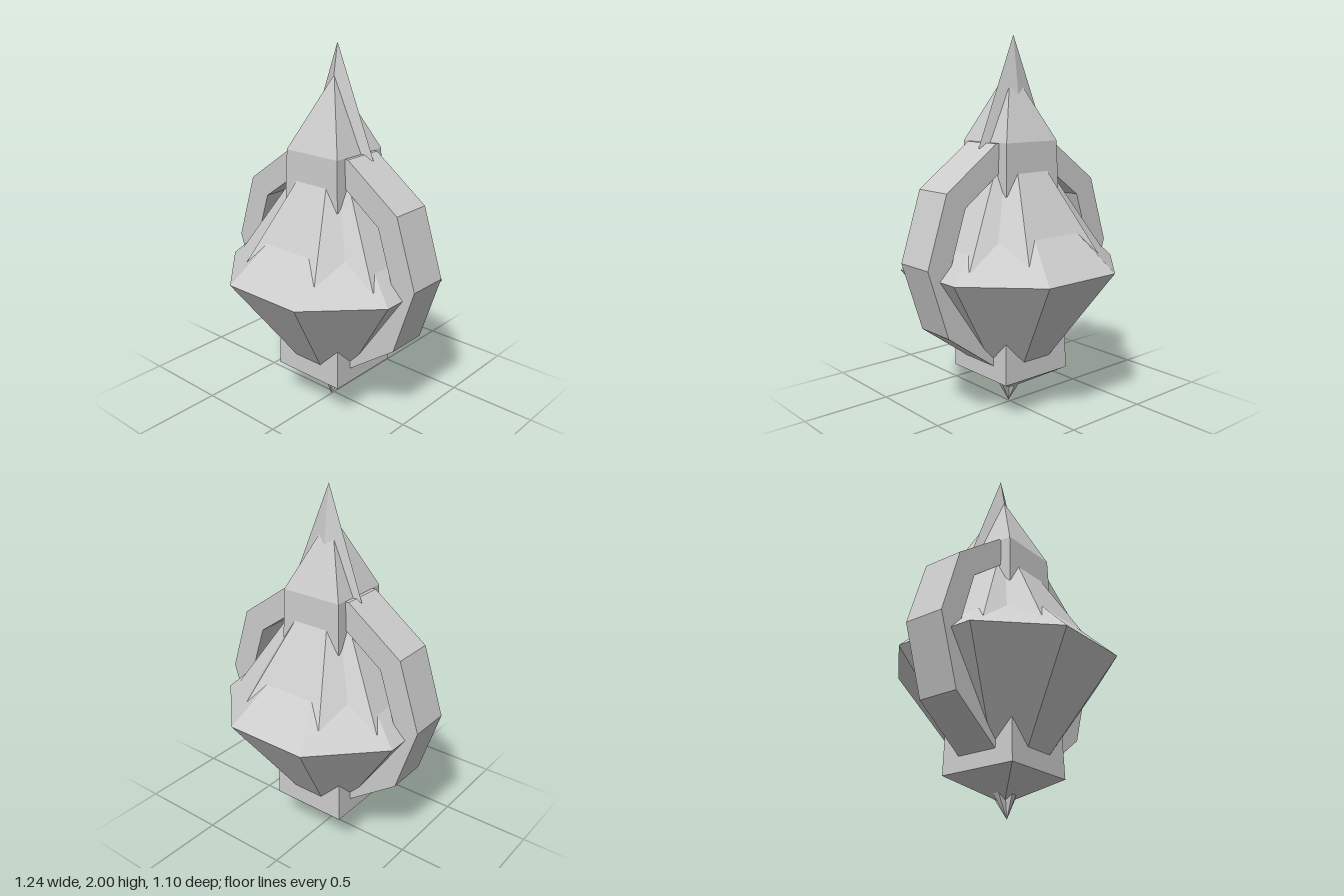
import * as THREE from 'three';

const stone = new THREE.MeshStandardMaterial({ color: 0xcccccc });
stone.name = 'pale grey';

// Faceted solid through cross-sections { y, pts: [[x, z], ...] }, listed bottom to top
function loft(sections) {
  const pos = [];
  const rings = sections.map(s => s.pts.map(([x, z]) => [x, s.y, z]));
  const n = rings[0].length;
  const tri = (a, b, c) => pos.push(...a, ...b, ...c);
  for (let r = 0; r < rings.length - 1; r++) {
    const lo = rings[r], hi = rings[r + 1];
    for (let i = 0; i < n; i++) {
      const j = (i + 1) % n;
      tri(lo[i], lo[j], hi[j]);
      tri(lo[i], hi[j], hi[i]);
    }
  }
  const cap = (ring, up) => {
    const c = [0, 1, 2].map(k => ring.reduce((s, p) => s + p[k], 0) / n);
    for (let i = 0; i < n; i++) {
      const j = (i + 1) % n;
      up ? tri(c, ring[i], ring[j]) : tri(c, ring[j], ring[i]);
    }
  };
  cap(rings[0], false);
  cap(rings[rings.length - 1], true);
  const geo = new THREE.BufferGeometry();
  geo.setAttribute('position', new THREE.Float32BufferAttribute(pos, 3));
  geo.computeVertexNormals();
  return geo;
}

// Mirror one quadrant (front to side) into a closed outline
function mirror4(q) {
  const r = [...q].reverse();
  return [
    ...q,
    ...r.map(([x, z]) => [x, -z]),
    ...q.map(([x, z]) => [-x, -z]),
    ...r.map(([x, z]) => [-x, z]),
  ];
}
const octagon = a => mirror4([[a * 0.416, a], [a, a * 0.416]]);
const square = a => [[-a, a], [a, a], [a, -a], [-a, -a]];
const star = s => mirror4([[0.21, 0.365], [0.285, 0.24], [0.39, 0.2]].map(p => p.map(v => v * s)));
const point = (n, x, z) => Array.from({ length: n }, () => [x, z]);

export function createModel() {
  const model = new THREE.Group();
  const add = (name, geo) => {
    const mesh = new THREE.Mesh(geo, stone);
    mesh.name = name;
    model.add(mesh);
  };

  // Octagonal bowl with its sloping shoulder
  add('bowl', loft([
    { y: 0.3, pts: octagon(0.21) },
    { y: 0.8, pts: octagon(0.552) },
    { y: 1.05, pts: octagon(0.3) },
  ]));

  // Ridged roof, tapering into the collar
  add('ridgedRoof', loft([
    { y: 0.86, pts: star(1.19) },
    { y: 1.44, pts: star(0.27) },
  ]));

  // Square collar and its pyramid
  add('collar', loft([
    { y: 1.19, pts: square(0.181) },
    { y: 1.46, pts: square(0.173) },
  ]));
  add('topPyramid', loft([
    { y: 1.46, pts: square(0.173) },
    { y: 1.84, pts: point(4, 0, 0) },
  ]));

  // Flat blade crossing the pyramid
  add('topBlade', loft([
    { y: 1.43, pts: [[0, 0.07], [0.238, -0.03], [0, -0.1], [-0.225, -0.045]] },
    { y: 2, pts: point(4, 0, -0.025) },
  ]));

  // Ten-sided ring forming both handles
  const decagon = r => Array.from({ length: 10 }, (_, i) => {
    const t = i * Math.PI / 5;
    return new THREE.Vector2(Math.cos(t) * r, Math.sin(t) * r);
  });
  const ringShape = new THREE.Shape(decagon(0.622));
  ringShape.holes.push(new THREE.Path(decagon(0.482)));
  const ring = new THREE.ExtrudeGeometry(ringShape, { depth: 0.23, bevelEnabled: false });
  ring.translate(0, 0.865, -0.115);
  add('handleRing', ring);

  // Square foot, inverted pyramid and small pointed finial
  add('foot', loft([
    { y: 0.21, pts: square(0.218) },
    { y: 0.44, pts: square(0.212) },
  ]));
  add('bottomPyramid', loft([
    { y: 0.08, pts: point(4, 0, 0) },
    { y: 0.21, pts: square(0.218) },
  ]));
  const finial = s => mirror4([[0.02, 0.07], [0.025, 0.025], [0.08, 0.02]].map(p => p.map(v => v * s)));
  add('finial', loft([
    { y: 0, pts: point(12, -0.005, 0.02) },
    { y: 0.14, pts: finial(1) },
  ]));

  return model;
}
